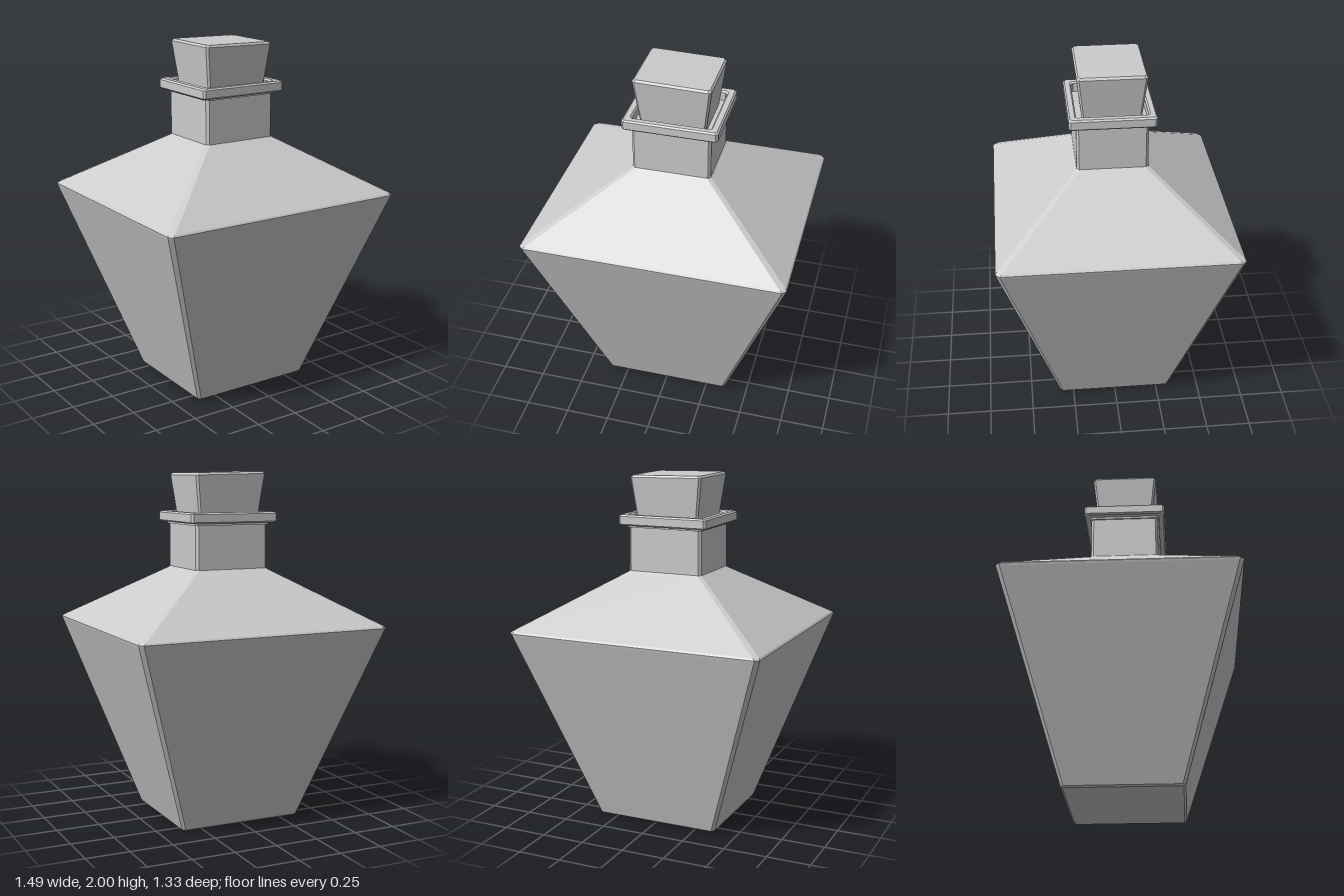
import * as THREE from 'three';

const material = new THREE.MeshStandardMaterial({ color: 0xcccccc, flatShading: true });

// Stacks rectangular rings [halfX, halfZ, y, cornerBevel] into a flat-shaded solid.
function loft(rings, { capBottom = true, capTop = true } = {}) {
  const points = [];
  const index = [];
  for (const [x, z, y, b] of rings) {
    // Eight corners, anticlockwise as seen from above
    points.push(
      x, y, z - b, x, y, -z + b, x - b, y, -z, -x + b, y, -z,
      -x, y, -z + b, -x, y, z - b, -x + b, y, z, x - b, y, z);
  }
  for (let r = 0; r < rings.length - 1; r++) {
    for (let i = 0; i < 8; i++) {
      const a = r * 8 + i, b = r * 8 + (i + 1) % 8;
      index.push(a, b, b + 8, a, b + 8, a + 8);
    }
  }
  const top = (rings.length - 1) * 8;
  for (let i = 1; i < 7; i++) {
    if (capBottom) index.push(0, i + 1, i);
    if (capTop) index.push(top, top + i, top + i + 1);
  }
  const indexed = new THREE.BufferGeometry();
  indexed.setAttribute('position', new THREE.Float32BufferAttribute(points, 3));
  indexed.setIndex(index);
  const geometry = indexed.toNonIndexed();
  geometry.computeVertexNormals();
  return geometry;
}

export function createModel() {
  const group = new THREE.Group();
  const add = (name, geometry) => {
    const mesh = new THREE.Mesh(geometry, material);
    mesh.name = name;
    group.add(mesh);
  };

  // Tapered body, sloping shoulders and neck in one skin
  add('bottleBody', loft([
    [0.355, 0.317, 0, 0.01],
    [0.367, 0.328, 0.008, 0.016],
    [0.741, 0.662, 1.118, 0.022],
    [0.744, 0.665, 1.13, 0.022],
    [0.736, 0.657, 1.14, 0.025],
    [0.23, 0.206, 1.445, 0.018],
    [0.221, 0.198, 1.452, 0.014],
    [0.221, 0.198, 1.715, 0.014],
  ]));

  // Bevelled collar, open in the middle around the stopper
  add('collar', loft([
    [0.215, 0.192, 1.7, 0.012],
    [0.23, 0.206, 1.7, 0.012],
    [0.23, 0.206, 1.712, 0.012],
    [0.258, 0.231, 1.712, 0.012],
    [0.267, 0.239, 1.72, 0.012],
    [0.267, 0.239, 1.764, 0.012],
    [0.258, 0.231, 1.773, 0.012],
    [0.228, 0.204, 1.773, 0.012],
    [0.219, 0.196, 1.764, 0.012],
    [0.219, 0.196, 1.7, 0.012],
  ], { capBottom: false, capTop: false }));

  // Flared stopper with a slightly slanted top
  const stopper = loft([
    [0.18, 0.158, 1.7, 0.01],
    [0.216, 0.19, 1.983, 0.012],
    [0.206, 0.181, 1.995, 0.012],
  ]);
  stopper.applyMatrix4(new THREE.Matrix4().set(
    1, 0, 0, 0,
    -0.02, 1, 0, 0,
    0, 0, 1, 0,
    0, 0, 0, 1));
  add('stopper', stopper);

  return group;
}
